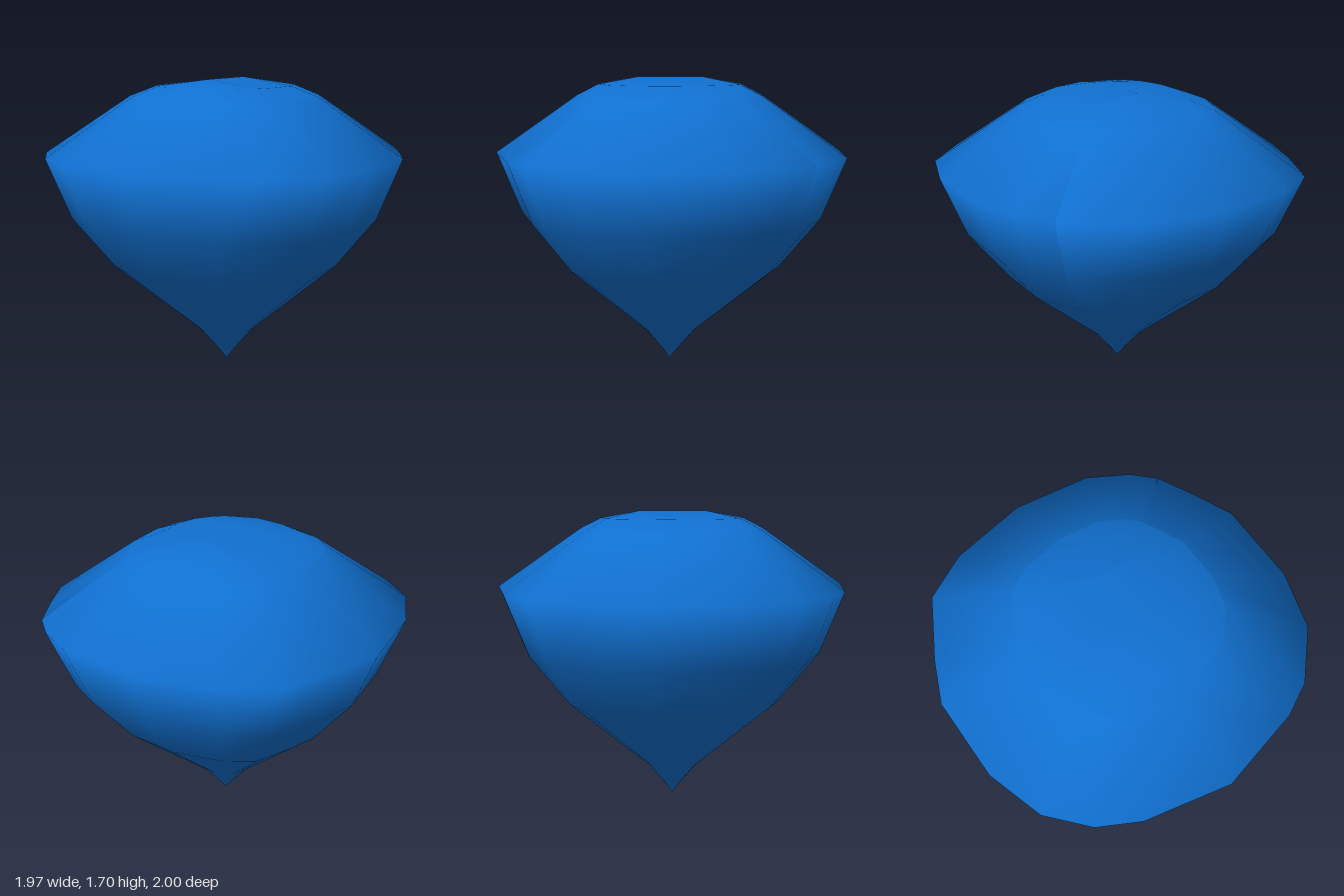
import * as THREE from 'three';
import { mergeVertices } from 'three/addons/utils/BufferGeometryUtils.js';

// Widest outline as [x, z], starting and ending at the sharp back left edge
const outline = [
  [0.78, -0.68], [0.885, -0.47], [0.985, -0.24], [0.985, 0.235], [0.885, 0.56],
  [0.66, 0.8], [0.48, 0.89], [0, 1], [-0.48, 0.89], [-0.7, 0.77],
  [-0.885, 0.56], [-0.985, 0.235], [-0.985, -0.24], [-0.885, -0.47],
  [-0.7, -0.8], [-0.44, -0.93], [0, -1], [0.44, -0.93], [0.66, -0.8], [0.78, -0.68],
];

// Skin a stack of rings, each a list of [x, y, z], going from bottom to top
function skin(rings) {
  const n = rings[0].length;
  const index = [];
  for (let r = 0; r < rings.length - 1; r++) {
    for (let i = 0; i < n - 1; i++) {
      const a = r * n + i, b = a + 1, u = a + n, v = u + 1;
      index.push(a, u, b, b, u, v);
    }
  }
  const geometry = new THREE.BufferGeometry();
  geometry.setAttribute('position', new THREE.Float32BufferAttribute(rings.flat(2), 3));
  geometry.setIndex(index);
  return geometry;
}

// The outline scaled to a given height
const ring = (y, kx, kz = kx) => outline.map(([x, z]) => [x * kx, y, z * kz]);

export function createModel() {
  const gem = new THREE.Group();
  gem.name = 'gem';
  const material = new THREE.MeshStandardMaterial({ color: 0x1070d0 });

  // Pointed pavilion, girdle and sloping crown
  const profile = [[0, 0], [0.07, 0.05], [0.2, 0.155], [0.635, 0.645], [0.93, 0.87], [1.275, 1], [1.6, 0.53]];
  const bodyGeometry = skin(profile.map(([y, k]) => ring(y, k)));
  bodyGeometry.computeVertexNormals();
  const body = new THREE.Mesh(bodyGeometry, material);
  body.name = 'pavilionAndCrown';

  // Shallow table rising to a short ridge along z
  const ridge = outline.map(([, z]) => [0, 1.7, THREE.MathUtils.clamp(z * 0.4, -0.19, 0.19)]);
  const tableGeometry = mergeVertices(skin([ring(1.6, 0.53), ring(1.66, 0.37, 0.41), ridge]));
  tableGeometry.computeVertexNormals();
  const table = new THREE.Mesh(tableGeometry, material);
  table.name = 'table';

  gem.add(body, table);
  return gem;
}
